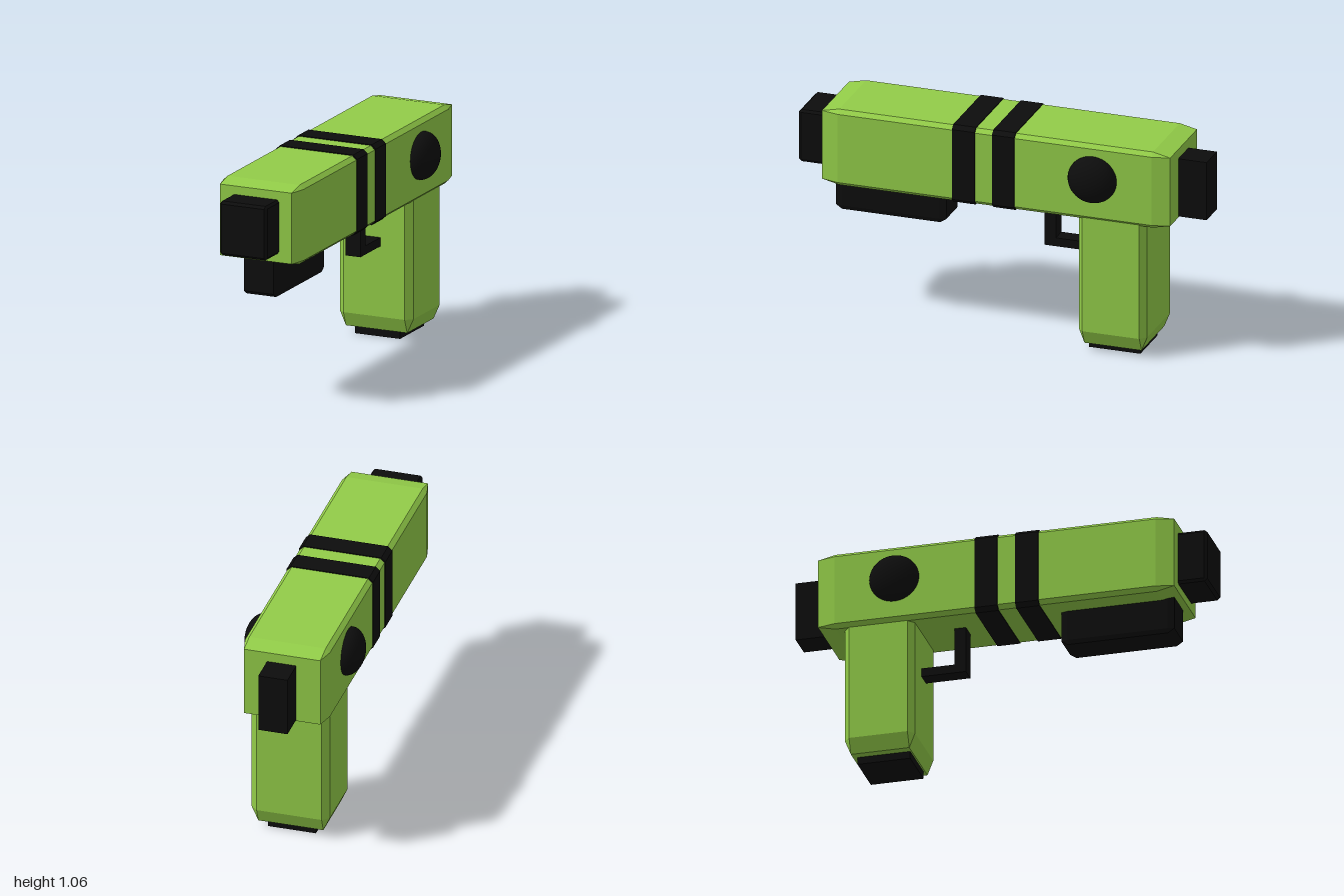
import * as THREE from 'three';
import { ConvexGeometry } from 'three/addons/geometries/ConvexGeometry.js';

const green = new THREE.MeshStandardMaterial({ color: 0x92cc48 });
const black = new THREE.MeshStandardMaterial({ color: 0x0d0d0d });

// Box between two corners whose edges are cut by a separate bevel per axis
function bevelledBox(min, max, bevel) {
  const points = [];
  for (let corner = 0; corner < 8; corner++) {
    for (let face = 0; face < 3; face++) {
      const p = [0, 1, 2].map((axis) => {
        const inset = axis === face ? 0 : bevel[axis];
        return (corner >> axis) & 1 ? max[axis] - inset : min[axis] + inset;
      });
      points.push(new THREE.Vector3(...p));
    }
  }
  return new ConvexGeometry(points);
}

function plainBox(min, max) {
  const size = max.map((v, i) => v - min[i]);
  const mid = max.map((v, i) => (v + min[i]) / 2);
  return new THREE.BoxGeometry(...size).translate(...mid);
}

export function createModel() {
  const group = new THREE.Group();
  const add = (name, geometry, material, parent = group) => {
    const mesh = new THREE.Mesh(geometry, material);
    mesh.name = name;
    parent.add(mesh);
    return mesh;
  };

  // Main body and handle
  add('body', bevelledBox([-0.21, 0.672, -0.86], [0.203, 1.053, 0.86], [0.021, 0.019, 0.085]), green);
  add('grip', bevelledBox([-0.19, 0.035, -0.738], [0.19, 0.76, -0.4], [0.032, 0.07, 0.028]), green);
  add('gripBase', plainBox([-0.116, 0, -0.69], [0.118, 0.06, -0.435]), black);

  // Front, rear and underside blocks
  add('muzzle', bevelledBox([-0.125, 0.732, 0.7], [0.117, 0.993, 1], [0.01, 0.012, 0.014]), black);
  add('rearBlock', plainBox([-0.072, 0.697, -1], [0.07, 0.987, -0.75]), black);
  add('underBarrel', bevelledBox([-0.089, 0.505, 0.285], [0.082, 0.75, 0.83], [0.009, 0.02, 0.03]), black);

  // Bands wrapped around the body
  [[-0.1, 0.014], [0.096, 0.212]].forEach(([back, front], i) => {
    add(`band${i + 1}`, bevelledBox([-0.214, 0.668, back], [0.207, 1.057, front], [0.021, 0.019, 0.002]), black);
  });

  // Flattened domes on both sides
  for (const side of [1, -1]) {
    const dome = add(side > 0 ? 'leftDome' : 'rightDome', new THREE.SphereGeometry(1, 32, 24), black);
    dome.scale.set(0.077, 0.114, 0.119);
    dome.position.set(side * 0.211 - 0.002, 0.884, -0.485);
  }

  // L-shaped trigger guard
  const guard = new THREE.Group();
  guard.name = 'triggerGuard';
  add('guardPost', plainBox([-0.045, 0.447, -0.242], [0.033, 0.7, -0.186]), black, guard);
  add('guardBar', plainBox([-0.045, 0.446, -0.43], [0.033, 0.488, -0.186]), black, guard);
  group.add(guard);

  return group;
}
